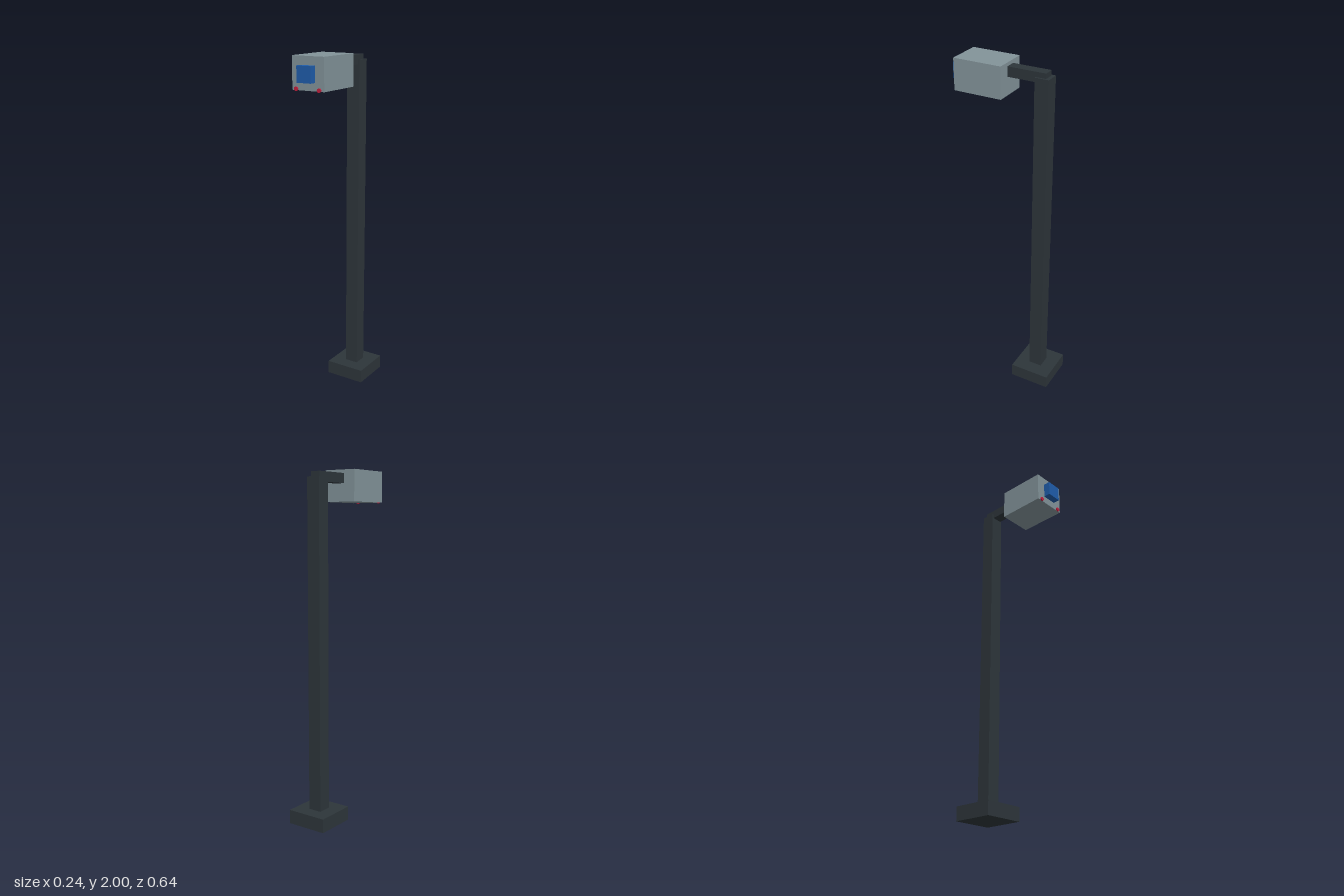
import * as THREE from 'three';

const flat = (name, color) => {
  const m = new THREE.MeshStandardMaterial({ color });
  m.name = name;
  return m;
};

export function createModel() {
  const model = new THREE.Group();
  model.name = 'cameraPost';
  const darkMetal = flat('dark metal', 0x2d353a);
  const greyCasing = flat('grey casing', 0x829399);
  const blueLens = flat('blue lens', 0x1f5dab);
  const redLamp = flat('red lamp', 0xc0203f);

  // Box given by its half width and its y and z ranges
  const box = (name, material, halfWidth, y0, y1, z0, z1) => {
    const mesh = new THREE.Mesh(new THREE.BoxGeometry(halfWidth * 2, y1 - y0, z1 - z0), material);
    mesh.position.set(0, (y0 + y1) / 2, (z0 + z1) / 2);
    mesh.name = name;
    model.add(mesh);
  };

  // Stand
  box('base', darkMetal, 0.12, 0, 0.08, -0.32, -0.08);
  box('post', darkMetal, 0.04, 0.08, 1.952, -0.24, -0.16);
  box('arm', darkMetal, 0.03, 1.925, 1.98, -0.22, 0);

  // Camera head
  box('housing', greyCasing, 0.1, 1.824, 2, 0, 0.28);
  box('lens', blueLens, 0.044, 1.867, 1.954, 0.28, 0.32);

  // Small indicator lamps under the lens
  for (const [name, side] of [['leftLamp', 1], ['rightLamp', -1]]) {
    const lamp = new THREE.Mesh(new THREE.CylinderGeometry(0.012, 0.012, 0.008, 8), redLamp);
    lamp.rotation.x = Math.PI / 2;
    lamp.position.set(side * 0.072, 1.831, 0.286);
    lamp.name = name;
    model.add(lamp);
  }
  return model;
}
